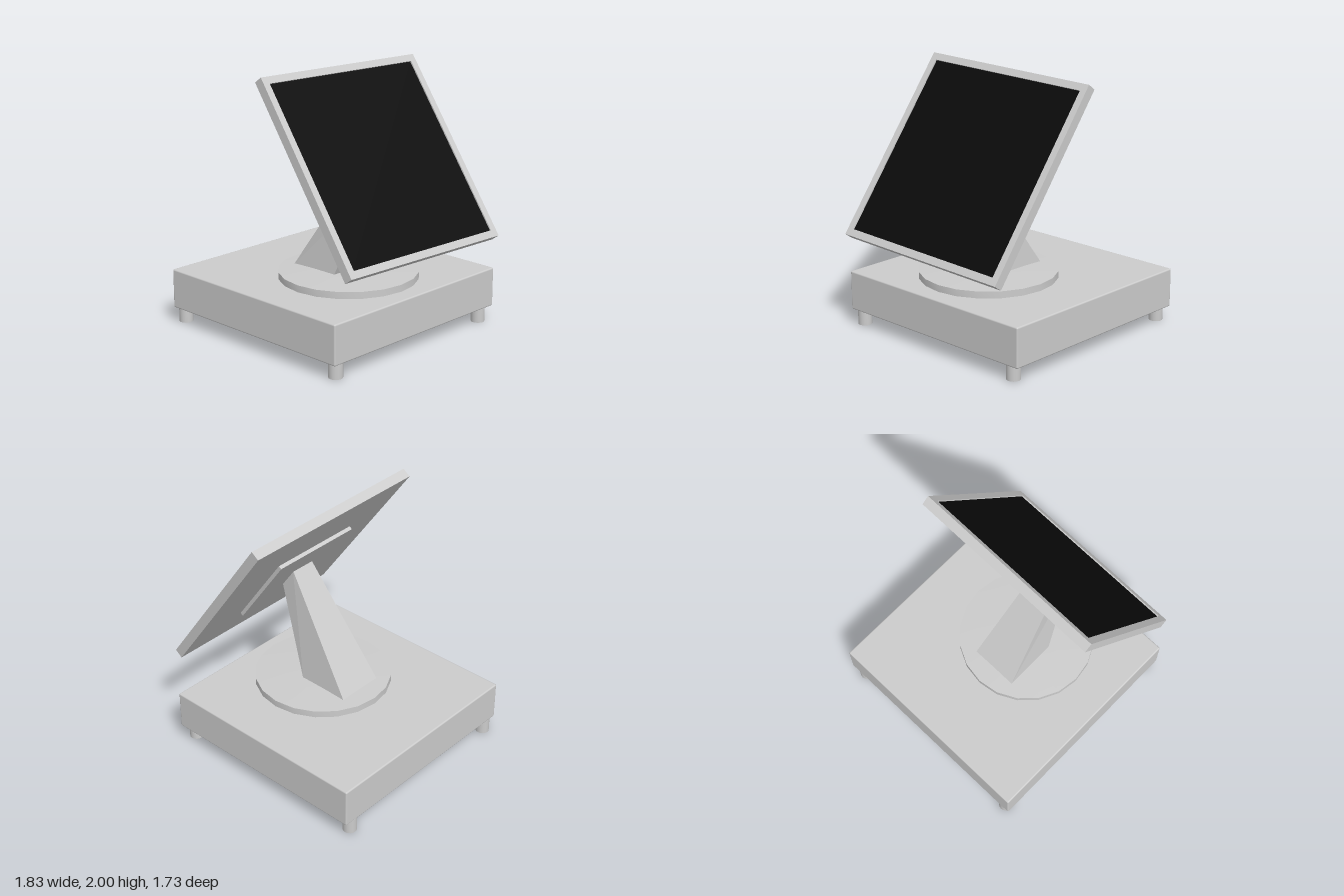
import * as THREE from 'three';
import { RoundedBoxGeometry } from 'three/addons/geometries/RoundedBoxGeometry.js';
import { toCreasedNormals } from 'three/addons/utils/BufferGeometryUtils.js';

const grey = new THREE.MeshStandardMaterial({ color: 0xcccccc });
const black = new THREE.MeshStandardMaterial({ color: 0x0a0a0a });

function add(parent, name, geometry, x = 0, y = 0, z = 0, material = grey) {
  const mesh = new THREE.Mesh(geometry, material);
  mesh.name = name;
  mesh.position.set(x, y, z);
  parent.add(mesh);
  return mesh;
}

// Rectangle path centred on the origin
function rectangle(target, w, h) {
  target.moveTo(-w / 2, -h / 2);
  target.lineTo(w / 2, -h / 2);
  target.lineTo(w / 2, h / 2);
  target.lineTo(-w / 2, h / 2);
  target.closePath();
  return target;
}

// Leaning, tapering neck: a box with its corners moved
function neckGeometry() {
  const g = new THREE.BoxGeometry(2, 2, 2);
  const p = g.attributes.position;
  for (let i = 0; i < p.count; i++) {
    const right = p.getX(i) > 0;
    const side = Math.sign(p.getZ(i));
    if (p.getY(i) > 0) p.setXYZ(i, right ? 0.467 : 0.358, right ? 1.18 : 1.338, side * 0.1);
    else p.setXYZ(i, right ? 0.18 : -0.235, 0.475, side * 0.19);
  }
  const flat = g.toNonIndexed();
  flat.computeVertexNormals();
  return flat;
}

export function createModel() {
  const model = new THREE.Group();
  model.name = 'displayTerminal';

  // Base box on four feet
  add(model, 'base', new RoundedBoxGeometry(1.72, 0.305, 1.73, 2, 0.012), -0.06, 0.268, 0);
  for (const x of [-0.867, 0.733])
    for (const z of [-0.768, 0.788])
      add(model, 'foot', new THREE.CylinderGeometry(0.053, 0.053, 0.12, 16), x, 0.06, z);

  // Swivel disc with a slightly domed top
  const profile = [[0, 0.41], [0.527, 0.41], [0.527, 0.473], [0.27, 0.484], [0, 0.488]]
    .map(([r, y]) => new THREE.Vector2(r, y));
  add(model, 'swivelDisc', toCreasedNormals(new THREE.LatheGeometry(profile, 20), 0.6), 0.141, 0, 0.045);

  add(model, 'neck', neckGeometry(), 0, 0, 0.052);

  // Tilted monitor: local x is the screen normal, y runs up the screen
  const monitor = new THREE.Group();
  monitor.name = 'monitor';
  monitor.position.set(0.422, 1.34, 0);
  monitor.rotation.set(-0.0225, 0, 0.626, 'ZYX');
  model.add(monitor);

  const width = 1.565, height = 1.545, depth = 0.073, bezel = 0.055, recess = 0.01;
  const outline = rectangle(new THREE.Shape(), width, height);
  outline.holes.push(rectangle(new THREE.Path(), width - 2 * bezel, height - 2 * bezel));
  const frame = new THREE.ExtrudeGeometry(outline, { depth, bevelEnabled: false });
  frame.translate(0, 0, -depth / 2).rotateY(Math.PI / 2);
  add(monitor, 'bezel', frame);

  // Rear panel and recessed screen fill the opening
  const w = width - 2 * bezel, h = height - 2 * bezel;
  add(monitor, 'rearPanel', new THREE.BoxGeometry(0.04, h, w), -depth / 2 + 0.02);
  add(monitor, 'screen', new THREE.BoxGeometry(0.02, h, w), depth / 2 - recess - 0.01, 0, 0, black);
  add(monitor, 'mountingPlate', new THREE.BoxGeometry(0.03, 0.75, 0.75), -depth / 2 - 0.013, -0.065, 0.045);

  return model;
}
